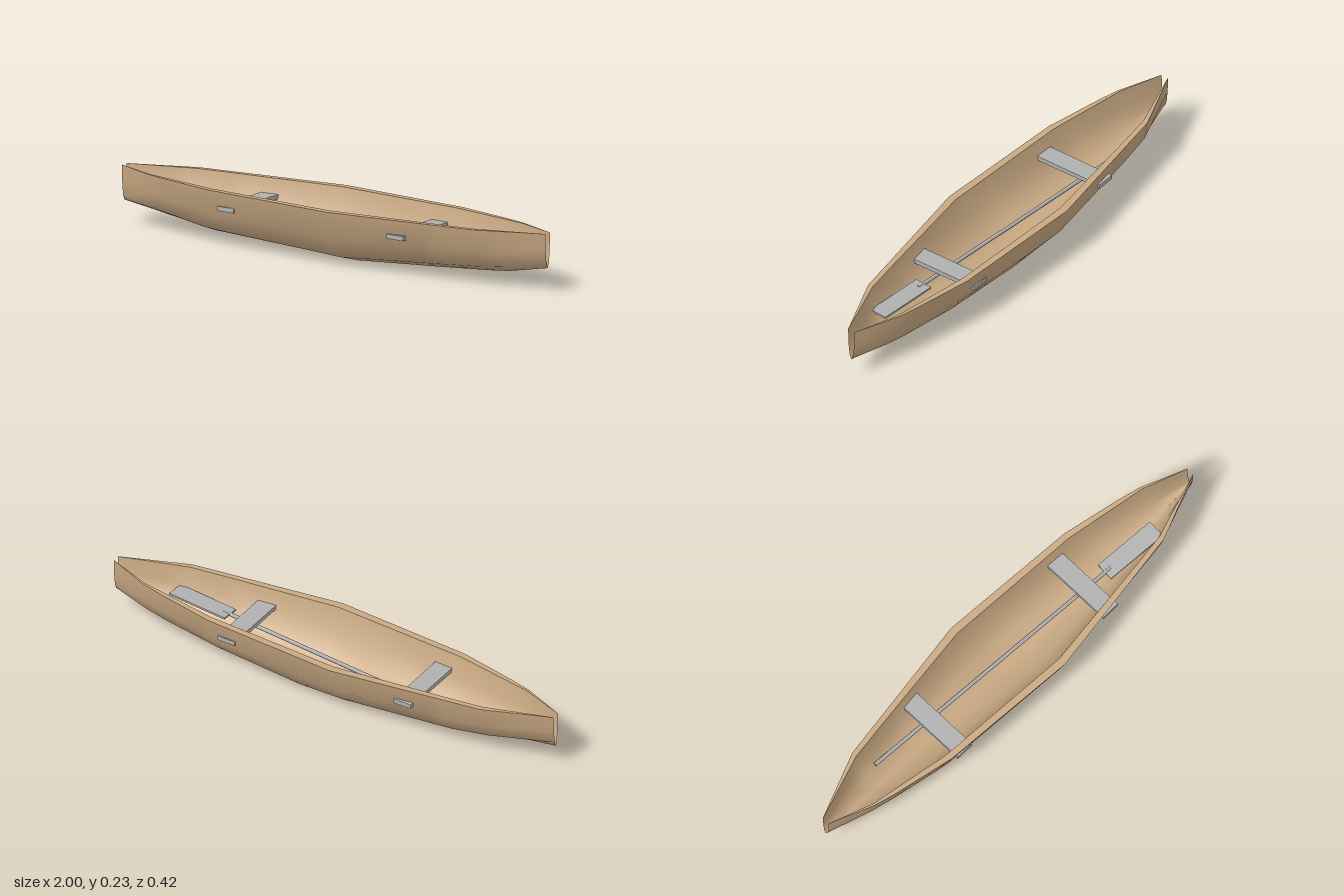
import * as THREE from 'three';

const TOP = 0.232;
// [x, half width] along the front gunwale; the back one is the same turned half round
const OUTER = [[-1, 0.016], [-0.8, 0.1], [-0.48, 0.168], [0.1, 0.208], [0.73, 0.122], [1, 0.016]];
const INNER = [[-1, 0.015], [-0.82, 0.082], [-0.48, 0.142], [0.1, 0.176], [0.72, 0.104], [1, 0.015]];
// [x, y] of the keel outside and inside
const KEEL = [[-1, 0.092], [-0.57, 0.03], [0.12, 0.002], [0.8, 0.055], [1, 0.095]];
const FLOOR = [[-1, 0.093], [-0.57, 0.05], [0.12, 0.024], [0.8, 0.074], [1, 0.096]];
// Cross-section from gunwale to keel: [share of width, share of height]
const SECTION = [[1, 1], [0.86, 0.51], [0.53, 0.145], [0, 0]];
const STATIONS = [-1, -0.82, -0.73, -0.57, -0.48, -0.1, 0.1, 0.48, 0.57, 0.73, 0.82, 1];

function at(line, x) {
  let i = 0;
  while (i < line.length - 2 && x > line[i + 1][0]) i++;
  const [x0, v0] = line[i], [x1, v1] = line[i + 1];
  return v0 + (v1 - v0) * (x - x0) / (x1 - x0);
}

// Section points from the +z gunwale, round the keel, to the -z gunwale
function section(x, widths, keel) {
  const k = at(keel, x);
  const side = (w, s) => SECTION.map(([a, b]) => [x, k + (TOP - k) * b, s * w * a]);
  const front = side(at(widths, x), 1);
  const back = side(at(widths, -x), -1).reverse().slice(1);
  return [...front, ...back];
}

// Skin a row of sections
function loft(rows, flip) {
  const n = rows[0].length, index = [];
  for (let i = 0; i < rows.length - 1; i++) {
    for (let j = 0; j < n - 1; j++) {
      const a = i * n + j, b = a + n, c = a + 1, d = b + 1;
      index.push(...(flip ? [a, b, c, c, b, d] : [a, c, b, c, d, b]));
    }
  }
  const g = new THREE.BufferGeometry();
  g.setAttribute('position', new THREE.Float32BufferAttribute(rows.flat(2), 3));
  g.setIndex(index);
  g.computeVertexNormals();
  return g;
}

export function createModel() {
  const wood = new THREE.MeshStandardMaterial({ color: 0xc8a882 });
  wood.name = 'tan hull';
  const grey = new THREE.MeshStandardMaterial({ color: 0xb0b0b0 });
  grey.name = 'grey fittings';

  const model = new THREE.Group();
  model.name = 'canoe';
  const add = (name, geometry, material, parent = model) => {
    const mesh = new THREE.Mesh(geometry, material);
    mesh.name = name;
    parent.add(mesh);
    return mesh;
  };

  // Hull skins, open in a narrow V at both ends
  add('outerHull', loft(STATIONS.map(x => section(x, OUTER, KEEL)), false), wood);
  add('innerHull', loft(STATIONS.map(x => section(x, INNER, FLOOR)), true), wood);

  // Flat gunwales joining the two skins
  add('frontGunwale', loft(STATIONS.map(x => [[x, TOP, at(INNER, x)], [x, TOP, at(OUTER, x)]]), false), wood);
  add('backGunwale', loft(STATIONS.map(x => [[x, TOP, -at(OUTER, -x)], [x, TOP, -at(INNER, -x)]]), false), wood);

  // Seats whose ends poke through the sides
  for (const [name, x] of [['rightSeat', -0.405], ['leftSeat', 0.395]]) {
    add(name, new THREE.BoxGeometry(0.078, 0.018, 0.33), grey).position.set(x, 0.164, 0);
  }

  // Paddle lying under the seats
  const paddle = new THREE.Group();
  paddle.name = 'paddle';
  model.add(paddle);
  const from = new THREE.Vector3(-0.67, 0.105, -0.058), to = new THREE.Vector3(0.53, 0.138, 0.033);
  const dir = to.clone().sub(from);
  const shaft = add('paddleShaft', new THREE.CylinderGeometry(0.008, 0.008, dir.length(), 6), grey, paddle);
  shaft.position.copy(from).add(to).multiplyScalar(0.5);
  shaft.quaternion.setFromUnitVectors(new THREE.Vector3(0, 1, 0), dir.normalize());
  const blade = add('paddleBlade', new THREE.BoxGeometry(0.265, 0.008, 0.075), grey, paddle);
  blade.position.set(0.632, 0.141, 0.039);
  blade.rotation.set(0, -0.076, 0.027);

  return model;
}
